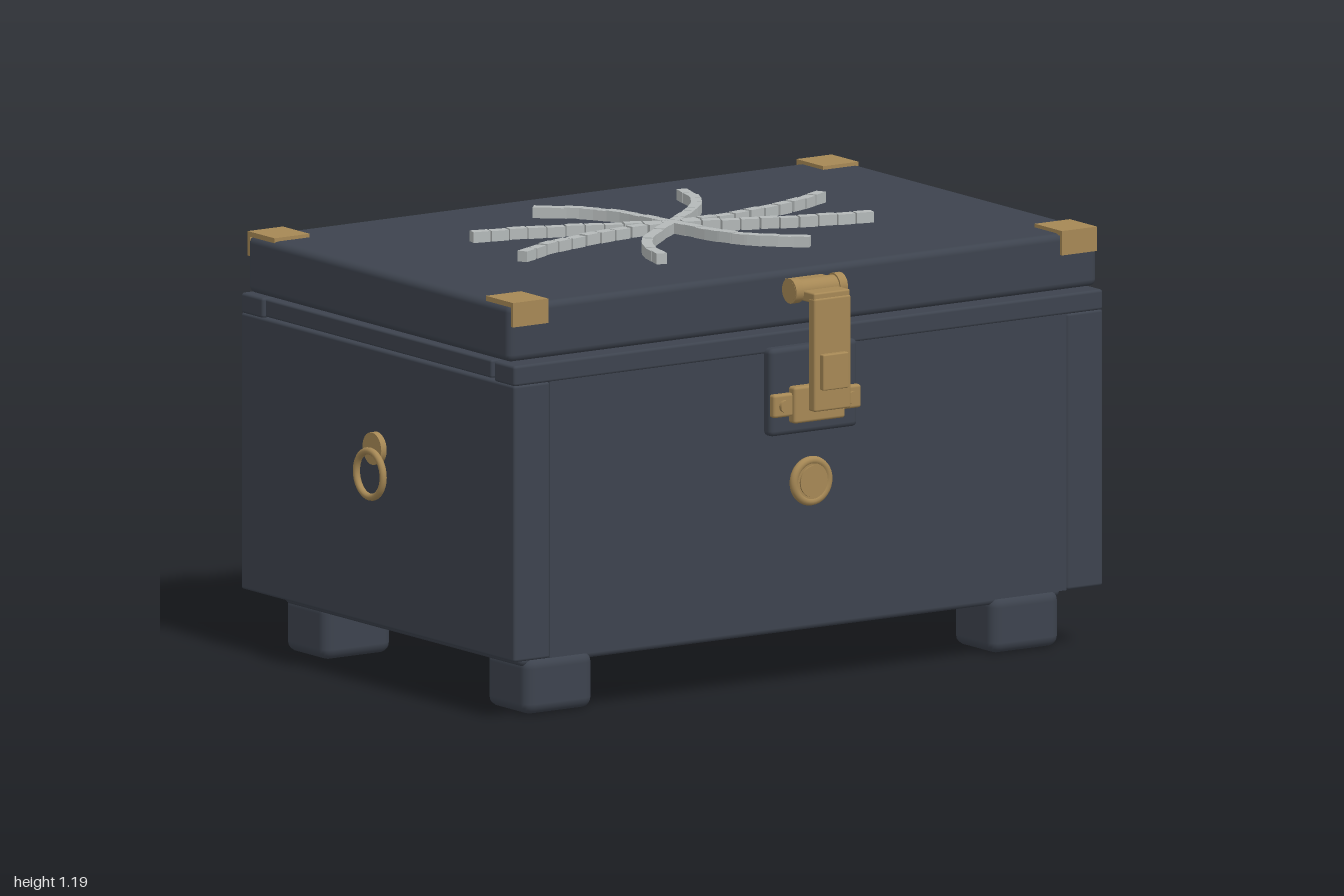
import * as THREE from 'three';
import { RoundedBoxGeometry } from 'three/addons/geometries/RoundedBoxGeometry.js';

const slate = new THREE.MeshStandardMaterial({ color: 0x3d434e });
slate.name = 'slate';
const brass = new THREE.MeshStandardMaterial({ color: 0xa68855 });
brass.name = 'brass';
const silver = new THREE.MeshStandardMaterial({ color: 0xb4b9b9 });
silver.name = 'silver';

export function createModel() {
  const root = new THREE.Group();
  root.name = 'chest';

  function add(name, geometry, material, x, y, z, parent = root) {
    const mesh = new THREE.Mesh(geometry, material);
    mesh.name = name;
    mesh.position.set(x, y, z);
    parent.add(mesh);
    return mesh;
  }
  // Box given by its extents, with rounded edges when r > 0
  function box(name, material, [x0, x1], [y0, y1], [z0, z1], r = 0, parent = root) {
    const size = [x1 - x0, y1 - y0, z1 - z0];
    const geometry = r ? new RoundedBoxGeometry(...size, 2, r) : new THREE.BoxGeometry(...size);
    return add(name, geometry, material, (x0 + x1) / 2, (y0 + y1) / 2, (z0 + z1) / 2, parent);
  }
  // Cylinder lying along x or z
  function rod(name, axis, radius, length, x, y, z, parent = root) {
    const geometry = new THREE.CylinderGeometry(radius, radius, length, 28);
    if (axis === 'x') geometry.rotateZ(Math.PI / 2);
    else geometry.rotateX(Math.PI / 2);
    return add(name, geometry, brass, x, y, z, parent);
  }

  // Body: side walls run the full depth, front and back panels sit between them
  const sides = [[-0.965, -0.845], [0.876, 0.996]];
  for (const x of sides) {
    box('sideWall', slate, x, [0.17, 0.94], [-0.68, 0.63], 0.008);
    box('sideRim', slate, x, [0.945, 0.995], [-0.563, 0.52], 0.006);
  }
  box('frontPanel', slate, [-0.845, 0.876], [0.17, 0.94], [0.53, 0.627]);
  box('backPanel', slate, [-0.845, 0.876], [0.17, 0.94], [-0.677, -0.575]);
  box('floor', slate, [-0.85, 0.88], [0.17, 0.24], [-0.6, 0.56]);
  box('frontRim', slate, [-0.965, 0.996], [0.938, 0.995], [0.532, 0.63], 0.008);
  box('backRim', slate, [-0.965, 0.996], [0.938, 0.995], [-0.68, -0.575], 0.008);

  // Plinth and feet
  box('plinth', slate, [-0.885, 0.915], [0.135, 0.175], [-0.59, 0.545], 0.015);
  for (const x of [[-0.875, -0.648], [0.678, 0.905]])
    for (const z of [[0.36, 0.56], [-0.605, -0.405]])
      box('foot', slate, x, [0, 0.158], z, 0.03);

  // Lid with brass corner plates folded over the front and back edges
  box('lid', slate, [-0.965, 0.996], [1.0, 1.158], [-0.65, 0.605], 0.02);
  for (const x of [[-0.957, -0.84], [0.87, 0.987]])
    for (const front of [true, false]) {
      const corner = new THREE.Group();
      corner.name = 'lidCorner';
      root.add(corner);
      box('cornerTop', brass, x, [1.154, 1.168], front ? [0.483, 0.613] : [-0.658, -0.53], 0, corner);
      box('cornerFace', brass, x, [1.1, 1.168], front ? [0.603, 0.613] : [-0.658, -0.648], 0, corner);
    }

  // Emblem: four curved arms of small blocks, repeated by a half turn
  const emblem = new THREE.Group();
  emblem.name = 'emblem';
  emblem.position.set(0.018, 1.172, -0.03);
  root.add(emblem);
  const arms = [
    [[0, 0], [-0.01, -0.06], [-0.035, -0.195], [-0.09, -0.3], [-0.17, -0.375]],
    [[0, 0], [-0.15, -0.064], [-0.28, -0.118], [-0.405, -0.16], [-0.51, -0.184]],
    [[0, 0], [-0.17, 0.002], [-0.33, 0.03], [-0.46, 0.065], [-0.56, 0.112]],
    [[0, 0], [-0.105, 0.083], [-0.2, 0.172], [-0.258, 0.265], [-0.282, 0.345]],
  ];
  const block = new THREE.BoxGeometry(0.05, 0.03, 0.03);
  for (const points of arms) {
    const curve = new THREE.CatmullRomCurve3(points.map(([x, z]) => new THREE.Vector3(x, 0, z)));
    for (const turn of [1, -1])
      for (let i = 0; i < 11; i++) {
        const p = curve.getPointAt(i / 10), t = curve.getTangentAt(i / 10);
        const mesh = add('emblemBlock', block, silver, p.x * turn, (i % 3) * 0.001, p.z * turn, emblem);
        mesh.rotation.y = Math.atan2(-t.z, t.x);
      }
  }

  // Hinges on the back
  for (const x of [-0.583, 0.609]) {
    const hinge = new THREE.Group();
    hinge.name = 'hinge';
    root.add(hinge);
    const leaf = [x - 0.072, x + 0.072];
    box('upperLeaf', brass, leaf, [1.0, 1.087], [-0.73, -0.645], 0.005, hinge);
    box('lowerLeaf', brass, leaf, [0.76, 0.985], [-0.704, -0.676], 0.004, hinge);
    rod('hingePin', 'x', 0.038, 0.216, x, 0.995, -0.72, hinge);
  }

  // Front clasp
  const clasp = new THREE.Group();
  clasp.name = 'clasp';
  root.add(clasp);
  const cx = 0.014;
  const wide = (w) => [cx - w / 2, cx + w / 2];
  box('claspBackplate', slate, wide(0.292), [0.71, 0.955], [0.615, 0.66], 0.015, clasp);
  box('claspMount', brass, wide(0.122), [1.085, 1.135], [0.595, 0.66], 0, clasp);
  rod('claspPin', 'x', 0.03, 0.172, cx, 1.112, 0.662, clasp);
  for (const s of [-1, 1])
    rod('claspPinCap', 'x', 0.035, 0.025, cx + s * 0.073, 1.112, 0.662, clasp);
  box('claspLink', brass, wide(0.12), [1.086, 1.115], [0.66, 0.745], 0.005, clasp);
  box('claspStrap', brass, wide(0.122), [0.785, 1.1], [0.716, 0.748], 0.006, clasp);
  box('claspTab', brass, wide(0.085), [0.845, 0.945], [0.74, 0.764], 0.004, clasp);
  box('catchBlock', brass, wide(0.17), [0.745, 0.847], [0.65, 0.687], 0.008, clasp);
  box('catchBar', brass, wide(0.292), [0.765, 0.83], [0.65, 0.676], 0.008, clasp);
  for (const s of [-1, 1])
    rod('catchScrew', 'z', 0.017, 0.02, cx + s * 0.112, 0.797, 0.676, clasp);

  // Round lock plate below the clasp
  rod('lockPlate', 'z', 0.058, 0.03, cx, 0.572, 0.637);
  add('lockRim', new THREE.TorusGeometry(0.057, 0.012, 12, 36), brass, cx, 0.572, 0.643);
  rod('lockButton', 'z', 0.044, 0.012, cx, 0.572, 0.651);

  // Ring pull on one side
  rod('ringBoss', 'x', 0.045, 0.022, -0.972, 0.665, -0.026);
  const ring = add('ringPull', new THREE.TorusGeometry(0.064, 0.01, 12, 36), brass, -0.99, 0.595, -0.026);
  ring.rotation.y = Math.PI / 2;

  return root;
}
